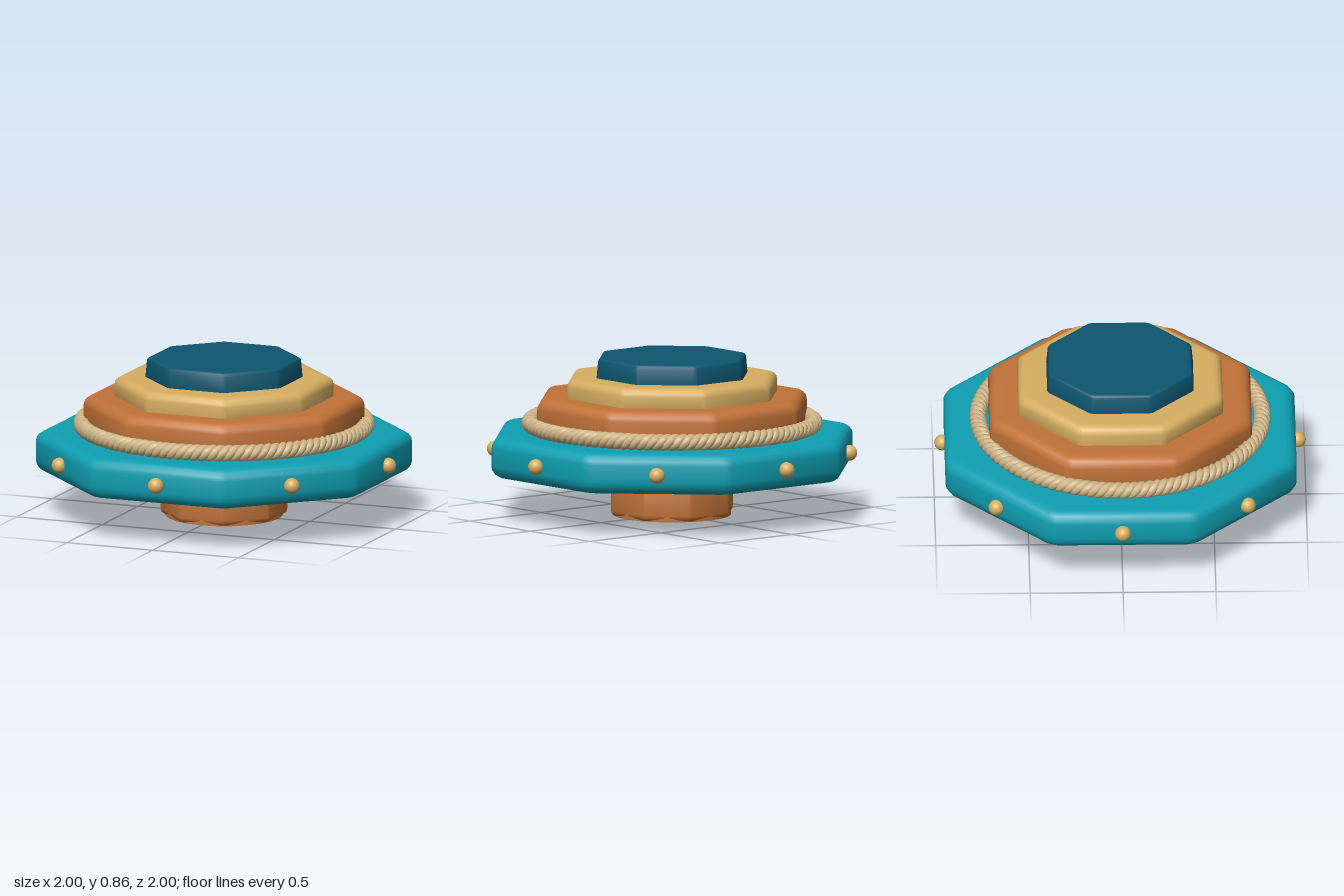
import * as THREE from 'three';
import { toCreasedNormals } from 'three/addons/utils/BufferGeometryUtils.js';

const mat = (name, color) => Object.assign(new THREE.MeshStandardMaterial({ color }), { name });

// Octagonal slab with softened corners; a = distance from centre to each flat,
// bevels bb (bottom) and bt (top), taper = how far the side leans in.
function octSlab(a, y0, y1, bb, bt, taper = 0) {
  const pts = [[0, y0], [(a - bb) * 0.96, y0]];
  const steps = 4;
  for (let i = 0; i <= steps; i++) {
    const t = (i / steps) * Math.PI / 2;
    pts.push([a - bb + bb * Math.sin(t), y0 + bb - bb * Math.cos(t)]);
  }
  for (let i = 0; i <= steps; i++) {
    const t = (i / steps) * Math.PI / 2;
    pts.push([a - taper - bt + bt * Math.cos(t), y1 - bt + bt * Math.sin(t)]);
  }
  pts.push([(a - taper - bt) * 0.96, y1], [0, y1]);

  const geo = new THREE.LatheGeometry(pts.map(p => new THREE.Vector2(...p)), 16);
  // pair up the lathe columns on either side of each octagon corner
  const pos = geo.attributes.position;
  const d = 0.025;
  for (let i = 0; i <= 16; i++) {
    const phi = Math.PI / 8 + Math.floor(i / 2) * Math.PI / 4 + (i % 2 ? d : -d);
    pts.forEach(([r, y], j) => {
      const R = r / Math.cos(Math.PI / 8 - d);
      pos.setXYZ(i * pts.length + j, R * Math.sin(phi), y, R * Math.cos(phi));
    });
  }
  return toCreasedNormals(geo, 0.6);
}

// One strand winding around a ring
class StrandCurve extends THREE.Curve {
  constructor(ring, offset, turns, phase) {
    super();
    Object.assign(this, { ring, offset, turns, phase });
  }
  getPoint(t, target = new THREE.Vector3()) {
    const a = t * Math.PI * 2;
    const p = this.phase - a * this.turns;
    const r = this.ring + this.offset * Math.cos(p);
    return target.set(r * Math.cos(a), this.offset * Math.sin(p), r * Math.sin(a));
  }
}

export function createModel() {
  const group = new THREE.Group();
  const teal = mat('teal', 0x0f9fb2);
  const deepTeal = mat('deepTeal', 0x0d5670);
  const copper = mat('copper', 0xc27238);
  const gold = mat('gold', 0xd6ae62);
  const ropeTan = mat('ropeTan', 0xcfb688);

  const add = (name, geo, material, parent = group) => {
    const mesh = new THREE.Mesh(geo, material);
    mesh.name = name;
    parent.add(mesh);
    return mesh;
  };

  // Stem with a round foot showing through its bevelled lower edge
  add('stem', octSlab(0.318, 0.002, 0.26, 0.03, 0.005), copper);
  add('stemFoot', new THREE.CylinderGeometry(0.318, 0.318, 0.04, 24), copper).position.y = 0.02;

  // Stacked octagonal tiers
  add('baseTier', octSlab(0.945, 0.235, 0.455, 0.07, 0.06), teal);
  add('middleTier', octSlab(0.705, 0.45, 0.652, 0.02, 0.055), copper);
  add('upperTier', octSlab(0.55, 0.64, 0.757, 0.005, 0.045), gold);
  add('topCap', octSlab(0.395, 0.745, 0.862, 0.005, 0.02, 0.008), deepTeal);

  // Twisted rope ring
  const rope = new THREE.Group();
  rope.name = 'rope';
  rope.position.y = 0.5;
  group.add(rope);
  for (let i = 0; i < 3; i++) {
    const curve = new StrandCurve(0.765, 0.022, 37, i * Math.PI * 2 / 3);
    curve.arcLengthDivisions = 1500;
    add('ropeStrand', new THREE.TubeGeometry(curve, 560, 0.0245, 8, true), ropeTan, rope);
  }

  // Beads at the middle of each base side
  const beadGeo = new THREE.SphereGeometry(0.043, 20, 14);
  for (let i = 0; i < 8; i++) {
    const a = i * Math.PI / 4;
    add('bead', beadGeo, gold).position.set(0.957 * Math.cos(a), 0.345, 0.957 * Math.sin(a));
  }
  return group;
}
